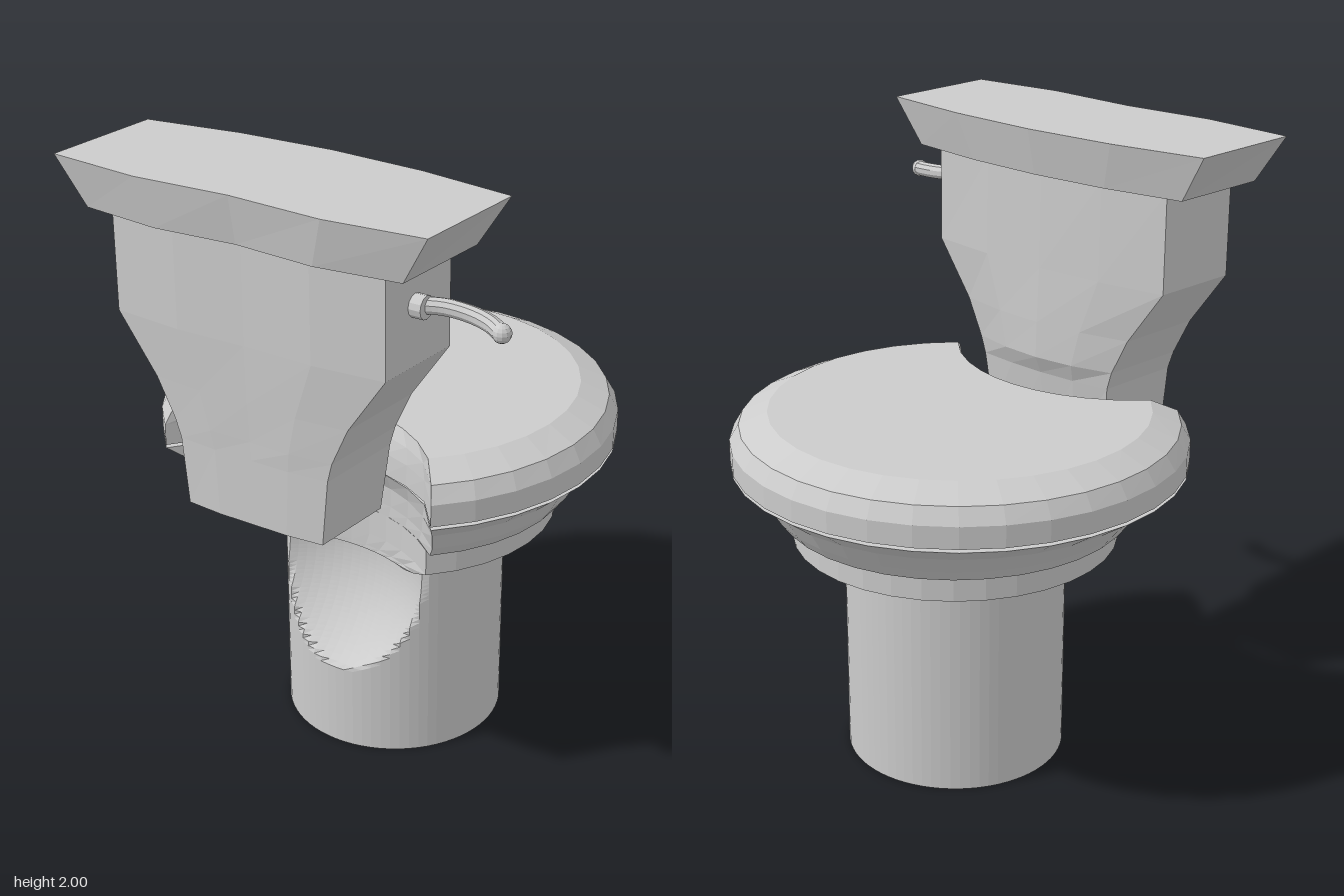
import * as THREE from 'three';

const material = new THREE.MeshStandardMaterial({ color: 0xcccccc, flatShading: true });

function addMesh(parent, name, geometry) {
  const mesh = new THREE.Mesh(geometry, material);
  mesh.name = name;
  parent.add(mesh);
  return mesh;
}

// Skin a stack of rings (anticlockwise seen from above, lowest first) and cap both ends.
function loft(rings) {
  const pos = [];
  const push = (...pts) => pts.forEach((p) => pos.push(p.x, p.y, p.z));
  for (let i = 0; i < rings.length - 1; i++) {
    const lo = rings[i], hi = rings[i + 1], n = lo.length;
    for (let j = 0; j < n; j++) {
      const k = (j + 1) % n;
      push(lo[j], lo[k], hi[k], lo[j], hi[k], hi[j]);
    }
  }
  const cap = (ring, up) => {
    const flat = ring.map((p) => new THREE.Vector2(p.x, -p.z));
    for (const [a, b, c] of THREE.ShapeUtils.triangulateShape(flat, [])) {
      if (up) push(ring[a], ring[b], ring[c]);
      else push(ring[a], ring[c], ring[b]);
    }
  };
  cap(rings[0], false);
  cap(rings[rings.length - 1], true);
  const g = new THREE.BufferGeometry();
  g.setAttribute('position', new THREE.Float32BufferAttribute(pos, 3));
  g.computeVertexNormals();
  return g;
}

// Round outline with a curved bite on the tank side; bulge fills the bite's middle.
const DISC_Z = -0.04, NOTCH_Z = 0.77, NOTCH_R = 0.555;
function notchedDisc([r, y, cx, bulge]) {
  const tipZ = (r * r + NOTCH_Z ** 2 - NOTCH_R ** 2 - DISC_Z ** 2) / (2 * (NOTCH_Z - DISC_Z));
  const tipX = Math.sqrt(r * r - (tipZ - DISC_Z) ** 2);
  const start = Math.atan2(DISC_Z - tipZ, tipX);
  const ring = [], arc = 26, bite = 10;
  for (let i = 0; i <= arc; i++) {
    const a = start + (Math.PI - 2 * start) * i / arc;
    ring.push(new THREE.Vector3(cx + r * Math.cos(a), y, DISC_Z - r * Math.sin(a)));
  }
  for (let i = 1; i < bite; i++) {
    const x = -tipX + 2 * tipX * i / bite;
    const fill = bulge * Math.max(0, 1 - (x / 0.4) ** 2);
    ring.push(new THREE.Vector3(cx + x, y, NOTCH_Z + fill - Math.sqrt(NOTCH_R ** 2 - x * x)));
  }
  return ring;
}

// Tank outline: gently curved inner side, slightly wavy outer side.
function tankRing([y, x0, x1, innerMid, innerEnd, outerEnd, outerMid, outerBow]) {
  const ring = [], n = 4, shear = 0.02;
  for (let i = 0; i <= n; i++) {
    const z = [outerEnd, outerBow, outerMid, outerBow, outerEnd][i];
    ring.push(new THREE.Vector3(x0 + (x1 - shear - x0) * i / n, y, z));
  }
  for (let i = n; i >= 0; i--) {
    const u = 2 * i / n - 1;
    ring.push(new THREE.Vector3(x0 + shear + (x1 - x0 - shear) * i / n, y, innerMid + (innerEnd - innerMid) * u * u));
  }
  return ring;
}

export function createModel() {
  const model = new THREE.Group();
  model.name = 'toilet';

  // Pedestal: cylinder with a spherical hollow pressed into the tank side
  const pedestal = new THREE.CylinderGeometry(0.355, 0.355, 0.7, 72, 50);
  pedestal.translate(0, 0.35, DISC_Z);
  const p = pedestal.attributes.position;
  for (let i = 0; i < p.count; i++) {
    const x = p.getX(i), dy = Math.min(0, p.getY(i) - 0.64);
    const d = 0.416 ** 2 - x * x - dy * dy;
    if (d > 0) p.setZ(i, Math.min(p.getZ(i), 0.53 - Math.sqrt(d)));
  }
  pedestal.computeVertexNormals();
  addMesh(model, 'pedestal', pedestal);

  // Bowl: stepped foot and flaring rim
  addMesh(model, 'bowl', loft([
    [0.38, 0.69, 0, 0], [0.43, 0.705, 0, 0], [0.52, 0.75, 0, 0], [0.52, 0.84, 0, 0],
    [0.56, 0.84, 0, 0], [0.59, 0.88, 0, 0], [0.635, 0.945, -0.01, 0], [0.72, 1.01, -0.02, 0.04],
  ].map(notchedDisc)));

  // Seat cover with a rounded top edge
  addMesh(model, 'seatCover', loft([
    [0.72, 1.02, -0.02, 0.055], [0.72, 1.09, -0.02, 0.05],
    [0.69, 1.14, -0.02, 0.03], [0.6, 1.18, -0.02, 0],
  ].map(notchedDisc)));

  // Tank: narrow foot widening to the upper box
  addMesh(model, 'tank', loft([
    [0.97, -0.27, 0.23, 0.39, 0.4, 0.675, 0.685, 0.685],
    [1.18, -0.29, 0.25, 0.36, 0.38, 0.675, 0.685, 0.685],
    [1.24, -0.31, 0.265, 0.33, 0.375, 0.675, 0.685, 0.688],
    [1.36, -0.37, 0.32, 0.33, 0.375, 0.675, 0.688, 0.69],
    [1.54, -0.5, 0.445, 0.335, 0.375, 0.675, 0.69, 0.695],
    [1.86, -0.5, 0.445, 0.34, 0.375, 0.675, 0.69, 0.695],
  ].map(tankRing)));

  // Tank lid flaring upwards
  addMesh(model, 'tankLid', loft([
    [1.85, -0.57, 0.515, 0.305, 0.355, 0.7, 0.71, 0.73],
    [2.0, -0.66, 0.605, 0.27, 0.33, 0.725, 0.737, 0.755],
  ].map(tankRing)));

  // Flush lever: collar, bent arm and rounded tip
  const lever = new THREE.Group();
  lever.name = 'flushLever';
  model.add(lever);
  const collar = addMesh(lever, 'leverCollar', new THREE.CylinderGeometry(0.035, 0.035, 0.05, 12));
  collar.rotation.z = Math.PI / 2;
  collar.position.set(0.445, 1.72, 0.54);
  const path = new THREE.CatmullRomCurve3([
    [0.44, 1.72, 0.535], [0.51, 1.722, 0.513], [0.59, 1.717, 0.508], [0.66, 1.71, 0.523], [0.71, 1.702, 0.55],
  ].map((q) => new THREE.Vector3(...q)));
  addMesh(lever, 'leverArm', new THREE.TubeGeometry(path, 14, 0.025, 10));
  const tip = addMesh(lever, 'leverTip', new THREE.SphereGeometry(0.028, 12, 8));
  tip.position.set(0.706, 1.703, 0.546);

  return model;
}
